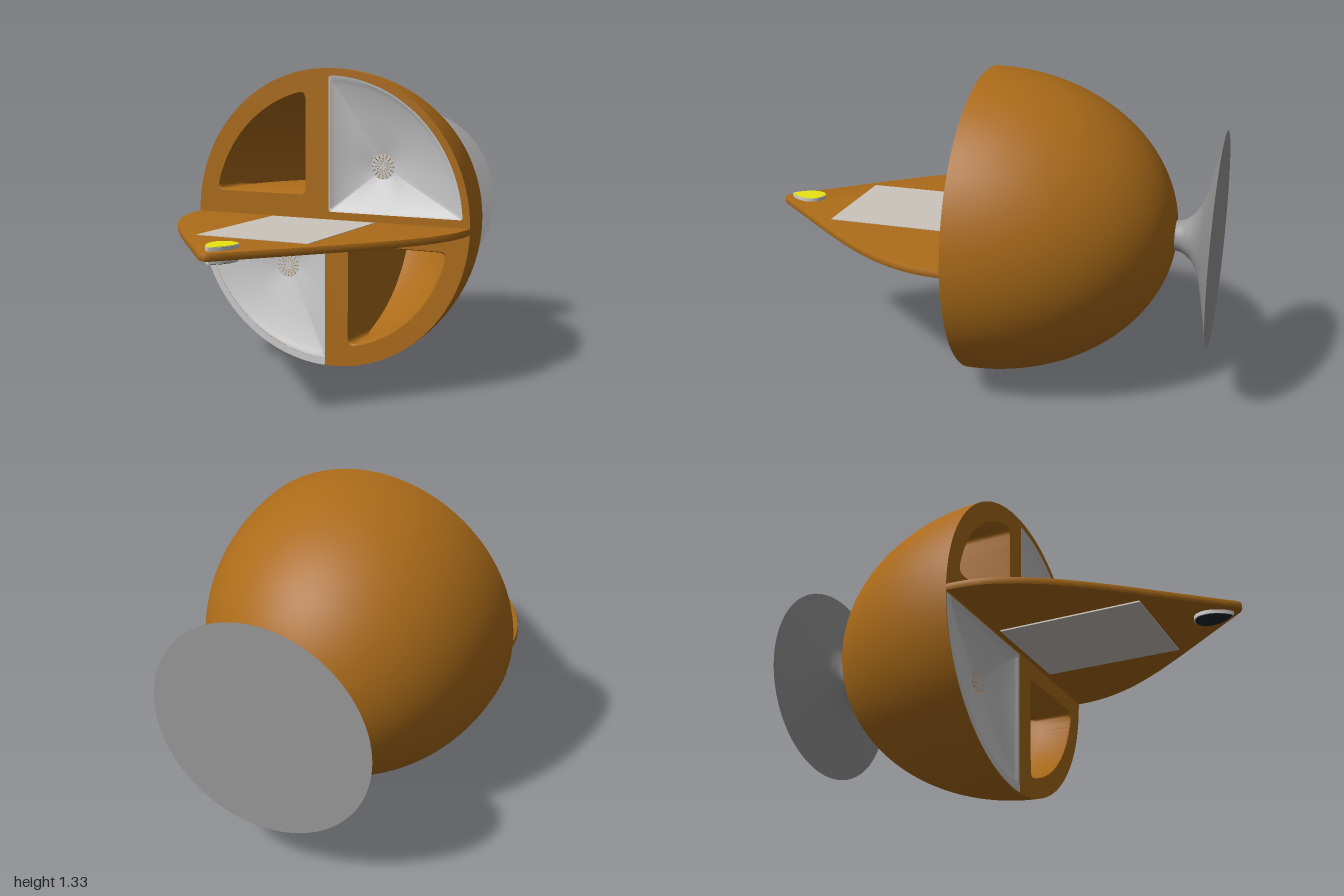
import * as THREE from 'three';
import { toCreasedNormals } from 'three/addons/utils/BufferGeometryUtils.js';

const R = 0.667, DEPTH = 0.83, INNER_R = 0.585, INNER_D = 0.75;
const mat = (color) => new THREE.MeshStandardMaterial({ color, side: THREE.DoubleSide });
const brown = mat(0xab6b19), grey = mat(0xcccccc), darkGrey = mat(0x999999);
const beige = mat(0xccc4bc), yellow = mat(0xe8e614), black = mat(0x20282c);

function add(parent, name, geometry, material) {
  const mesh = new THREE.Mesh(geometry, material);
  mesh.name = name;
  parent.add(mesh);
  return mesh;
}

// Quarter-disc outline with rounded corners, evenly spaced, anticlockwise
function sector(x0, y0, r, round) {
  const bx = Math.sqrt(r * r - y0 * y0), dy = Math.sqrt(r * r - x0 * x0);
  const a0 = Math.asin(y0 / r), a1 = Math.acos(x0 / r), da = round / r;
  const s = new THREE.Shape();
  s.moveTo(x0 + round, y0);
  s.lineTo(bx - round, y0);
  s.quadraticCurveTo(bx, y0, r * Math.cos(a0 + da), r * Math.sin(a0 + da));
  s.absarc(0, 0, r, a0 + da, a1 - da, false);
  s.quadraticCurveTo(x0, dy, x0, dy - round);
  s.lineTo(x0, y0 + round);
  s.quadraticCurveTo(x0, y0, x0 + round, y0);
  const curve = new THREE.CatmullRomCurve3(
    s.getPoints(40).slice(0, -1).map((p) => new THREE.Vector3(p.x, p.y, 0)), true, 'catmullrom', 0);
  curve.arcLengthDivisions = 1500;
  return curve.getSpacedPoints(160).slice(0, -1).map((p) => new THREE.Vector2(p.x, p.y));
}

// Skin over closed rings that all have the same number of points
function loft(rings, crease) {
  const n = rings[0].length, pos = [], index = [];
  rings.forEach((ring) => ring.forEach((p) => pos.push(p.x, p.y, p.z)));
  for (let k = 0; k < rings.length - 1; k++) {
    for (let i = 0; i < n; i++) {
      const a = k * n + i, b = k * n + (i + 1) % n;
      index.push(a, b, b + n, a, b + n, a + n);
    }
  }
  const g = new THREE.BufferGeometry();
  g.setAttribute('position', new THREE.Float32BufferAttribute(pos, 3));
  g.setIndex(index);
  return toCreasedNormals(g, crease);
}

const turn = (points) => points.map((p) => new THREE.Vector2(-p.x, -p.y));
const pocketOutline = sector(0.105, 0.105, 0.578, 0.035).map((p) => new THREE.Vector2(-p.y, p.x));
const basinOutline = sector(0.01, 0.035, 0.635, 0.006);
const drainCentre = new THREE.Vector2(0.237, 0.238);

// Hollow whose straight walls run back to the curved inside of the shell
function pocketGeometry() {
  const c = new THREE.Vector2(-0.28, 0.28);
  const ring = (t, depth) => pocketOutline.map((p) => {
    const q = c.clone().lerp(p, t);
    const back = -INNER_D * Math.sqrt(Math.max(0, 1 - q.lengthSq() / (INNER_R * INNER_R)));
    return new THREE.Vector3(q.x, q.y, depth ?? Math.min(back, -0.008));
  });
  const rings = [ring(1, 0), ring(0.975, -0.008)];
  for (let k = 0; k <= 12; k++) rings.push(ring(0.975 * (1 - k / 12)));
  return loft(rings, 0.7);
}

// Shallow sink sloping from its outline to the round drain
function basinGeometry() {
  const steps = [[0, 0], [0.03, -0.002], [0.07, -0.008], [0.12, -0.015], [0.5, -0.046], [1, -0.08]];
  return loft(steps.map(([t, z]) => basinOutline.map((p) => {
    const rim = p.clone().sub(drainCentre).normalize().multiplyScalar(0.054).add(drainCentre);
    const q = p.clone().lerp(rim, t);
    return new THREE.Vector3(q.x, q.y, z);
  })), 0.25);
}

// Disc pierced by rows of small holes
function drainGeometry() {
  const s = new THREE.Shape().absarc(0, 0, 0.057, 0, Math.PI * 2);
  for (let r = 1; r <= 6; r++) {
    for (let i = 0; i < 16; i++) {
      const a = (i / 16) * Math.PI * 2, d = 0.008 + r * 0.0072;
      s.holes.push(new THREE.Path().absarc(d * Math.cos(a), d * Math.sin(a), 0.0009 + r * 0.0003, 0, Math.PI * 2, true));
    }
  }
  return new THREE.ShapeGeometry(s, 8);
}

// Flat outline in x and z, extruded downwards from y = 0
function slab(shape, depth, bevel) {
  const g = new THREE.ExtrudeGeometry(shape, {
    depth: depth - 2 * bevel, bevelEnabled: bevel > 0, bevelSize: bevel, bevelThickness: bevel,
    bevelOffset: -bevel, bevelSegments: 2, curveSegments: 40,
  });
  g.translate(0, 0, bevel);
  g.rotateX(Math.PI / 2);
  return toCreasedNormals(g, 0.5);
}

export function createModel() {
  const model = new THREE.Group();
  model.name = 'model';
  const body = new THREE.Group();
  body.name = 'body';
  body.position.y = R;
  model.add(body);

  // Half-ellipsoid shell
  const profile = [];
  for (let i = 0; i <= 48; i++) {
    const a = (i / 48) * Math.PI / 2;
    profile.push(new THREE.Vector2(R * Math.cos(a), DEPTH * Math.sin(a)));
  }
  add(body, 'shell', new THREE.LatheGeometry(profile, 128).rotateX(-Math.PI / 2), brown);

  // Front plate with openings for two pockets and two basins
  const plate = new THREE.Shape().absarc(0, 0, R, 0, Math.PI * 2);
  [pocketOutline, basinOutline].forEach((o) => {
    plate.holes.push(new THREE.Path(o), new THREE.Path(turn(o)));
  });
  add(body, 'frontPlate', new THREE.ShapeGeometry(plate, 64), brown);

  // Upper and lower halves are the same, turned half round
  ['upper', 'lower'].forEach((name, i) => {
    const half = new THREE.Group();
    half.name = name + 'Half';
    half.rotation.z = i * Math.PI;
    body.add(half);
    add(half, 'pocket', pocketGeometry(), brown);
    add(half, 'basin', basinGeometry(), grey);
    add(half, 'drain', drainGeometry(), grey).position.set(drainCentre.x, drainCentre.y, -0.077);
    if (i === 1) {
      const rim = new THREE.Shape(sector(0.008, 0.033, R, 0.004));
      rim.holes.push(new THREE.Path(basinOutline));
      add(half, 'basinRim', new THREE.ShapeGeometry(rim), grey).position.z = 0.002;
    }
  });

  // Pointed tray
  const leaf = new THREE.Shape();
  leaf.moveTo(-R, 0);
  leaf.lineTo(R, 0);
  leaf.bezierCurveTo(R, 0.3, 0.42, 0.53, 0.03, 0.985);
  leaf.quadraticCurveTo(0, 1.015, -0.03, 0.985);
  leaf.bezierCurveTo(-0.42, 0.53, -R, 0.3, -R, 0);
  add(model, 'tray', slab(leaf, 0.032, 0.007), brown).position.y = 0.67;
  add(model, 'trayPanel', new THREE.BoxGeometry(0.505, 0.041, 0.62), beige).position.set(-0.004, 0.652, 0.342);

  // Teardrop insert at the tray tip
  const drop = new THREE.Shape();
  drop.moveTo(0, 0.965);
  drop.bezierCurveTo(-0.03, 0.945, -0.058, 0.9, -0.058, 0.862);
  drop.bezierCurveTo(-0.058, 0.78, 0.058, 0.78, 0.058, 0.862);
  drop.bezierCurveTo(0.058, 0.9, 0.03, 0.945, 0, 0.965);
  add(model, 'insertBody', slab(drop, 0.062, 0), grey).position.y = 0.684;
  const cap = slab(drop, 0.003, 0).translate(0, 0, -0.87).scale(0.94, 1, 0.94).translate(0, 0, 0.87);
  add(model, 'insertTop', cap, yellow).position.y = 0.686;
  add(model, 'insertBase', cap, black).position.y = 0.623;

  // Flared foot at the back, closed by a flat disc
  const flare = new THREE.SplineCurve([
    [0.066, 0.815], [0.066, 0.84], [0.078, 0.87], [0.115, 0.908], [0.21, 0.946], [0.455, 1],
  ].map(([x, y]) => new THREE.Vector2(x, y))).getPoints(40);
  const foot = new THREE.Group();
  foot.name = 'backFoot';
  foot.position.y = R + 0.003;
  model.add(foot);
  add(foot, 'flare', new THREE.LatheGeometry(flare, 96).rotateX(-Math.PI / 2), darkGrey);
  add(foot, 'footDisc', new THREE.CircleGeometry(0.455, 96).rotateY(Math.PI), darkGrey).position.z = -1;

  return model;
}
